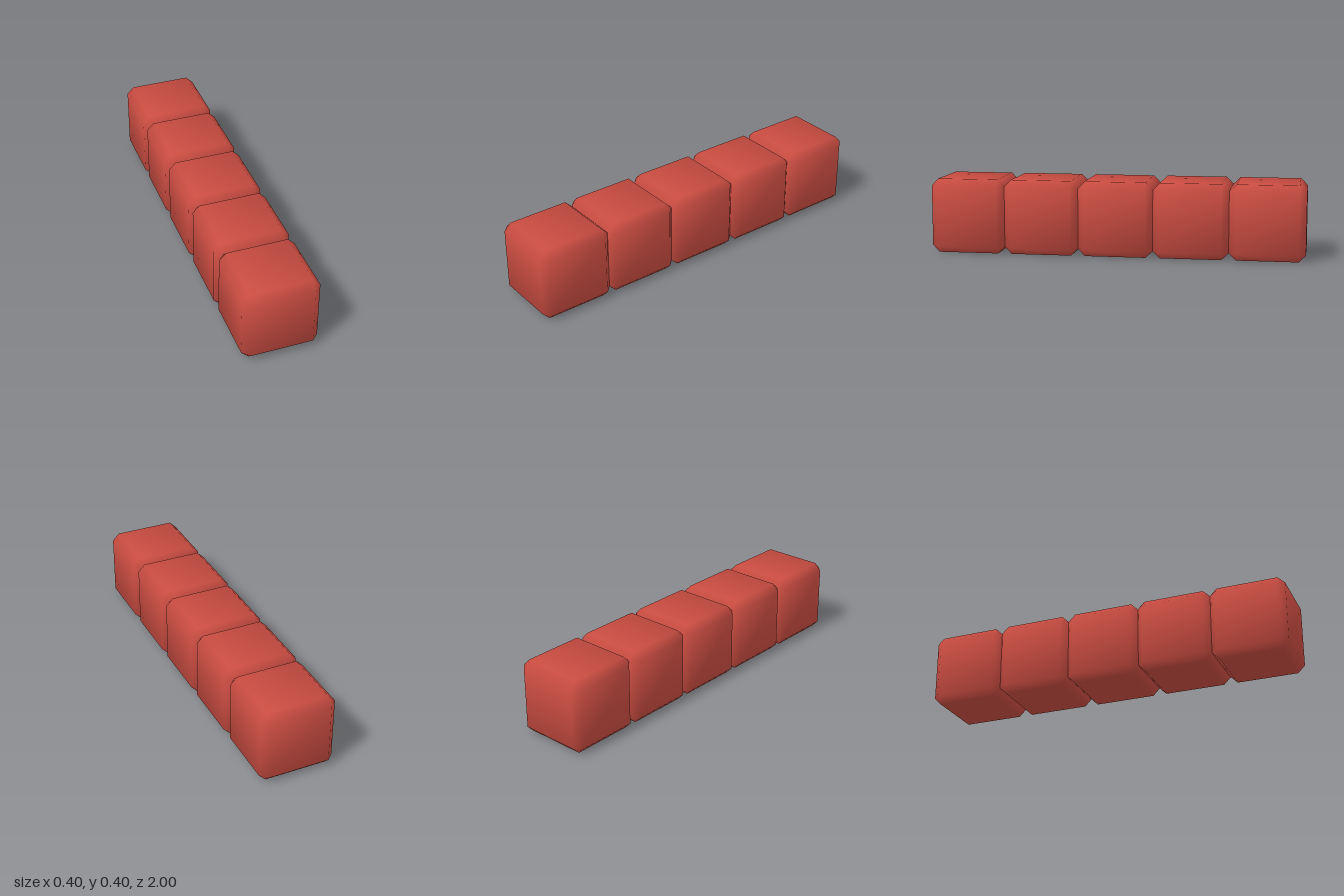
import * as THREE from 'three';
import { ConvexGeometry } from 'three/addons/geometries/ConvexGeometry.js';

const HALF = 0.2;     // half the width of a block
const INNER = 0.1625; // half the width of its flat faces

// Cube with cut edges and corners, shaded softly across the cuts
function chamferedCube() {
  const points = [];
  for (const x of [-1, 1]) for (const y of [-1, 1]) for (const z of [-1, 1]) {
    points.push(
      new THREE.Vector3(x * HALF, y * INNER, z * INNER),
      new THREE.Vector3(x * INNER, y * HALF, z * INNER),
      new THREE.Vector3(x * INNER, y * INNER, z * HALF));
  }
  const geometry = new ConvexGeometry(points);

  // Angle-weighted vertex normals: mostly along the flat face, leaning to the corner
  const { position, normal } = geometry.attributes;
  const lean = (c) => Math.sign(c) * (Math.abs(c) > (HALF + INNER) / 2 ? 2.8 : 1.1);
  const n = new THREE.Vector3();
  for (let i = 0; i < position.count; i++) {
    n.set(lean(position.getX(i)), lean(position.getY(i)), lean(position.getZ(i))).normalize();
    normal.setXYZ(i, n.x, n.y, n.z);
  }
  return geometry;
}

export function createModel() {
  const model = new THREE.Group();
  model.name = 'blockRow';
  const material = new THREE.MeshStandardMaterial({ color: 0xc94c41 });
  const geometry = chamferedCube();

  // Five blocks in a row from back to front
  for (let i = 0; i < 5; i++) {
    const block = new THREE.Mesh(geometry, material);
    block.name = `block${i + 1}`;
    block.position.set(0, HALF, (i - 2) * 2 * HALF);
    model.add(block);
  }
  return model;
}
